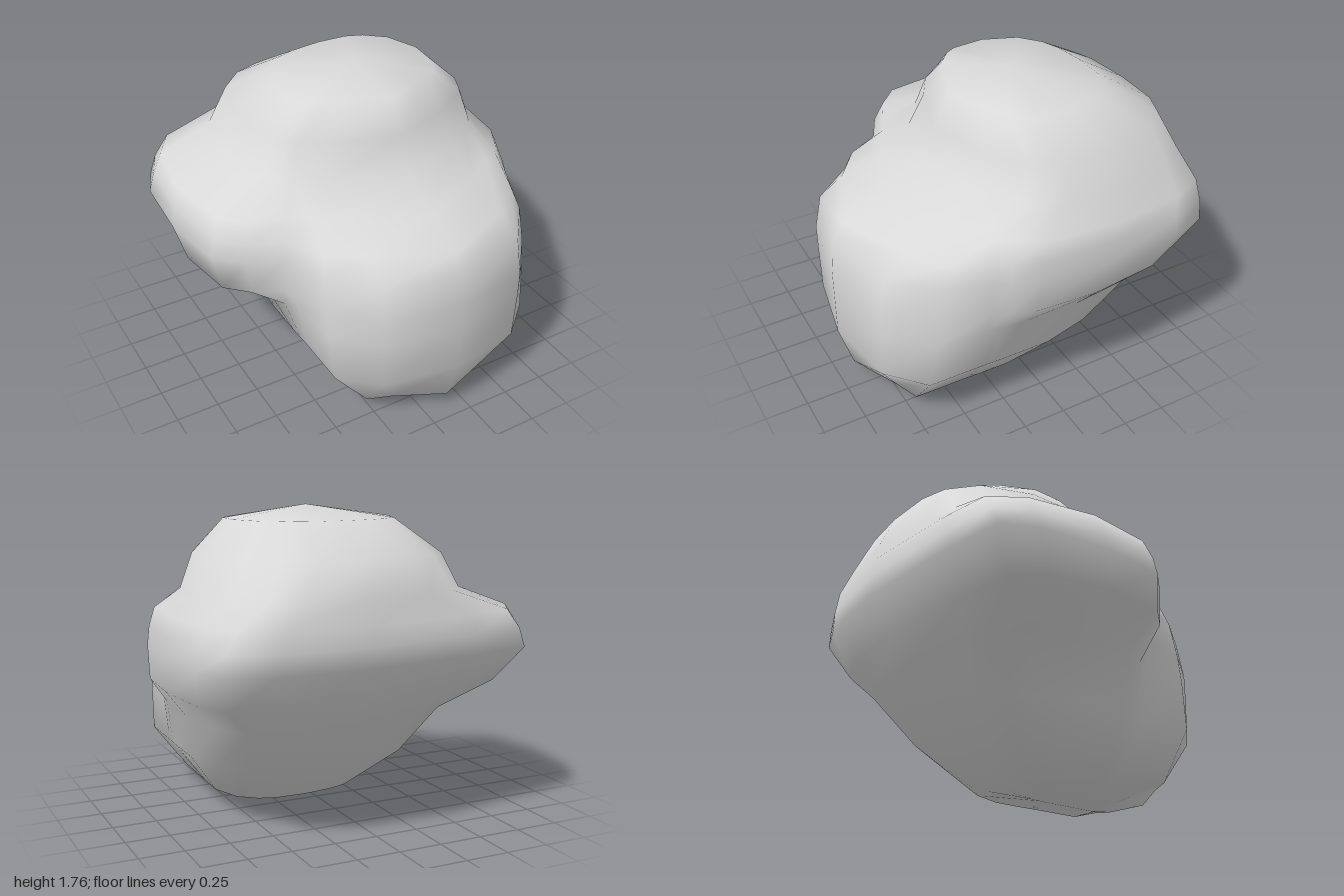
import * as THREE from 'three';

const CX = 0.14;

// Horizontal sections: height, front z, front corner setback, body right/left x,
// shoulder right/left x, back z, back roundness
const LEVELS = [
  [0.00, 0.65, 0.08, 0.18, 0.10, 0.18, 0.10, 0.10, 0.5],
  [0.085, 0.91, 0.14, 0.58, -0.28, 0.59, -0.29, -0.16, 0.8],
  [0.35, 0.99, 0.08, 0.78, -0.49, 0.79, -0.50, -0.48, 0.5],
  [0.63, 0.99, 0.08, 0.80, -0.51, 0.86, -0.63, -0.74, 0.3],
  [0.78, 0.99, 0.08, 0.80, -0.51, 0.98, -0.95, -0.85, 0.2],
  [0.98, 0.97, 0.10, 0.79, -0.50, 1.00, -1.00, -0.985, 0],
  [1.09, 0.91, 0.18, 0.76, -0.48, 0.99, -0.97, -0.99, 0.04],
  [1.20, 0.68, 0.19, 0.71, -0.45, 0.98, -0.94, -0.985, 0.2],
  [1.32, 0.41, 0.10, 0.70, -0.45, 0.87, -0.63, -0.95, 0.5],
  [1.51, 0.35, 0.12, 0.65, -0.39, 0.80, -0.53, -0.87, 0.75],
  [1.69, 0.25, 0.10, 0.47, -0.22, 0.60, -0.35, -0.57, 0.9],
];

// One side of a section, from front to back
function sidePoints(zF, setback, body, shoulder, notch, zB, k) {
  const d = zF - zB;
  const start = Math.min(0.4, zF - 0.21 * d);
  const zAt = (t) => start + (zB - start) * t;
  const join = (t) => body + (shoulder - body) * t;
  const out = (t) => CX + (shoulder - CX) * t;
  return [
    [CX + (body - CX) * 0.68, zF - setback],
    [body, zF - d * 0.18],
    [join(notch), start],
    [join(0.6), zAt(0.07)],
    [join(0.87), zAt(0.17)],
    [shoulder, zAt(0.47)],
    [out(0.98 - 0.15 * k), zAt(0.78)],
    [out(0.91 - 0.34 * k), zAt(0.93)],
    [out(0.62 - 0.26 * k), zAt(0.99)],
  ];
}

function boulderGeometry() {
  const positions = [];
  const index = [];
  let n = 0;
  for (const [y, zF, setback, bR, bL, sR, sL, zB, k] of LEVELS) {
    const right = sidePoints(zF, setback, bR, sR, 0.36, zB, k);
    // The left shoulder ends a little further forward at the back
    const left = sidePoints(zF, setback, bL, sL, 0.22, zB + (sL < -0.6 ? 0.09 : 0.02), k);
    const loop = [[CX, zF], ...right, [CX, zB], ...left.reverse()];
    n = loop.length;
    for (const [x, z] of loop) positions.push(x, y, z);
  }
  // Walls between sections
  for (let l = 0; l < LEVELS.length - 1; l++) {
    for (let i = 0; i < n; i++) {
      const a = l * n + i;
      const b = l * n + ((i + 1) % n);
      index.push(a, b, b + n, a, b + n, a + n);
    }
  }
  // Closed underside and crown
  const base = positions.length / 3;
  positions.push(CX, 0, 0.38, 0.13, 1.76, -0.13);
  const last = (LEVELS.length - 1) * n;
  for (let i = 0; i < n; i++) {
    const j = (i + 1) % n;
    index.push(j, i, base, last + i, last + j, base + 1);
  }
  const geometry = new THREE.BufferGeometry();
  geometry.setAttribute('position', new THREE.Float32BufferAttribute(positions, 3));
  geometry.setIndex(index);
  geometry.computeVertexNormals();
  return geometry;
}

export function createModel() {
  const group = new THREE.Group();
  group.name = 'boulder';
  const stone = new THREE.MeshStandardMaterial({ color: 0xd8d8d8 });
  stone.name = 'stone grey';
  const rock = new THREE.Mesh(boulderGeometry(), stone);
  rock.name = 'rock';
  group.add(rock);
  return group;
}
